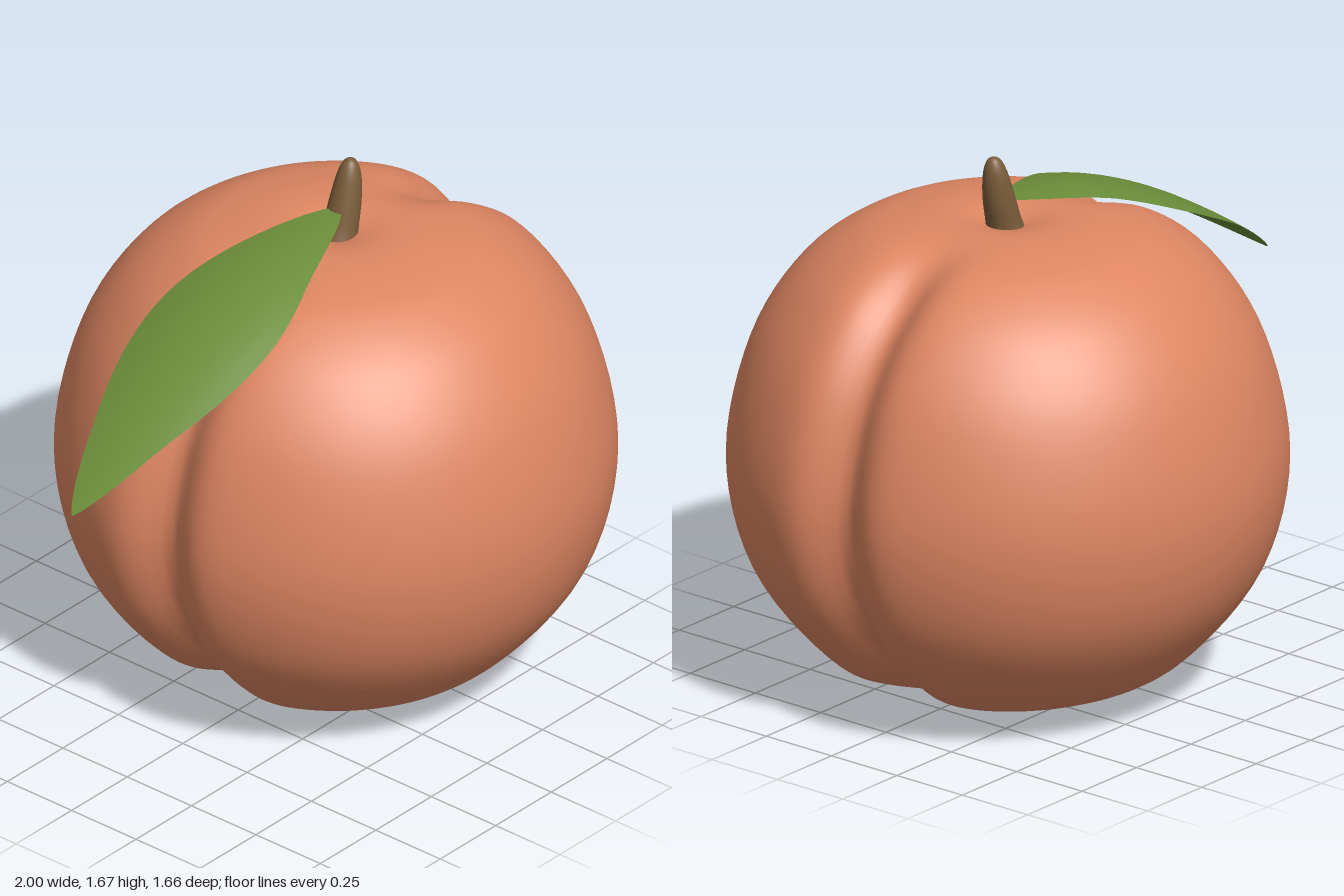
import * as THREE from 'three';
import { mergeVertices } from 'three/addons/utils/BufferGeometryUtils.js';

const material = (name, color, side = THREE.FrontSide) => {
  const m = new THREE.MeshStandardMaterial({ color, side });
  m.name = name;
  return m;
};

const CENTRE_X = 0.19;

// Smooth lathe from [radius, height] points listed bottom to top
function smoothLathe(points, steps, segments) {
  const curve = new THREE.SplineCurve(points.map(([r, y]) => new THREE.Vector2(r, y)));
  const profile = curve.getPoints(steps).map((p) => new THREE.Vector2(Math.max(p.x, 0), p.y));
  return new THREE.LatheGeometry(profile, segments);
}

// Move every vertex by a rule, then weld the seam and smooth the normals
function reshape(geometry, rule) {
  const pos = geometry.attributes.position;
  const v = new THREE.Vector3();
  for (let i = 0; i < pos.count; i++) {
    rule(v.fromBufferAttribute(pos, i));
    pos.setXYZ(i, v.x, v.y, v.z);
  }
  geometry.deleteAttribute('uv');
  geometry.deleteAttribute('normal');
  const welded = mergeVertices(geometry, 1e-5);
  welded.computeVertexNormals();
  return welded;
}

// Round fruit with a groove down both the +x and -x sides
function createFruit() {
  const profile = [
    [0, 0.003], [0.2, 0.012], [0.41, 0.06], [0.575, 0.16], [0.763, 0.41], [0.83, 0.72],
    [0.765, 1.05], [0.63, 1.28], [0.46, 1.41], [0.3, 1.455], [0.17, 1.465], [0.08, 1.45], [0, 1.42],
  ];
  return reshape(smoothLathe(profile, 72, 144), (v) => {
    const r = Math.hypot(v.x, v.z);
    const fade = THREE.MathUtils.smoothstep(r, 0.15, 0.6);
    const scale = 1 - 0.11 * fade * Math.exp(-((v.z / 0.1) ** 2));
    v.set(v.x * scale + CENTRE_X, 0.72 + (v.y - 0.72) * scale, v.z * scale);
  });
}

// Short tapering stem that leans towards +x
function createStem() {
  const profile = [
    [0, 1.4], [0.056, 1.401], [0.053, 1.47], [0.047, 1.55], [0.036, 1.62], [0.02, 1.66], [0, 1.672],
  ];
  return reshape(smoothLathe(profile, 28, 32), (v) => {
    const t = (v.y - 1.4) / 0.27;
    v.x += CENTRE_X + 0.1 * t - 0.035 * t * t;
  });
}

// Pointed leaf: an arched sheet that droops towards its tip
function createLeaf() {
  const spine = new THREE.SplineCurve([
    [0.2, 1.522], [-0.125, 1.487], [-0.39, 1.4], [-0.685, 1.235], [-1, 1.015],
  ].map(([x, y]) => new THREE.Vector2(x, y)));
  const sheet = new THREE.PlaneGeometry(1, 2, 40, 12).rotateX(-Math.PI / 2);
  return reshape(sheet, (v) => {
    const t = 0.5 - v.x;
    const p = spine.getPoint(t);
    const z = v.z * (0.212 * Math.sin(Math.PI * t) + 0.012 * (1 - t));
    v.set(p.x, p.y - 0.9 * z * z, z);
  });
}

export function createModel() {
  const group = new THREE.Group();
  const add = (name, geometry, mat) => {
    const mesh = new THREE.Mesh(geometry, mat);
    mesh.name = name;
    group.add(mesh);
  };
  add('fruit', createFruit(), material('peach skin', 0xde8662));
  add('stem', createStem(), material('stem brown', 0x7a5c3a));
  add('leaf', createLeaf(), material('leaf green', 0x6b8e3a, THREE.DoubleSide));
  return group;
}
